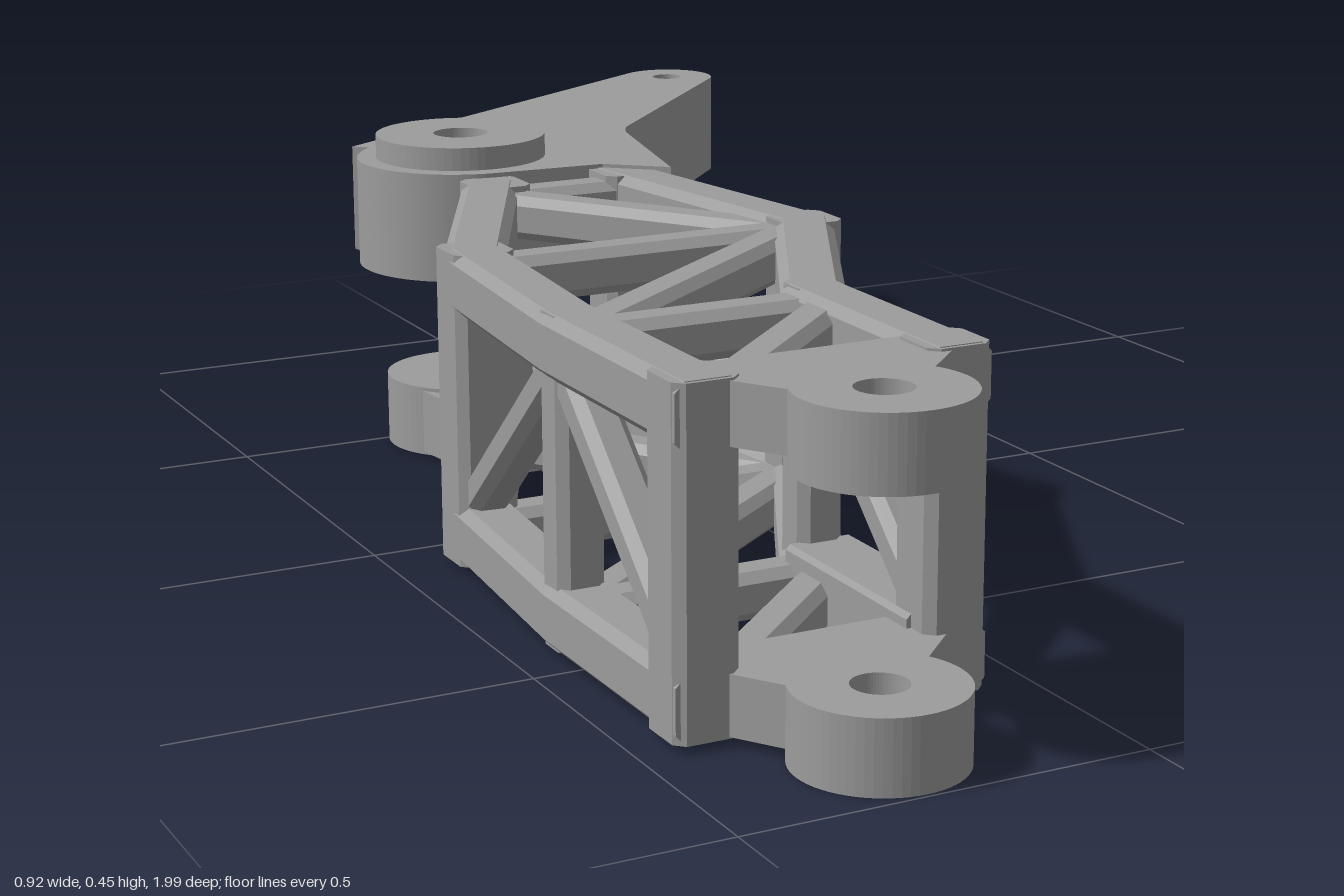
import * as THREE from 'three';

const Y = new THREE.Vector3(0, 1, 0);
const v = (x, y, z) => new THREE.Vector3(x, y, z);

// Mitred bar with a chamfered rectangular section swept along a polyline
function barGeometry(points, w, h, c = 0.012) {
  const a = w / 2, b = h / 2;
  const section = [[a, -b + c], [a, b - c], [a - c, b], [-a + c, b],
    [-a, b - c], [-a, -b + c], [-a + c, -b], [a - c, -b]];
  const dirs = points.slice(1).map((p, i) => p.clone().sub(points[i]).normalize());
  const rings = points.map((p, i) => {
    const d0 = dirs[Math.max(i - 1, 0)], d1 = dirs[Math.min(i, dirs.length - 1)];
    const dir = d0.clone().add(d1).normalize();
    const side = v(0, 0, 0).crossVectors(Y, dir);
    if (side.length() < 0.01) side.set(1, 0, 0);
    side.normalize();
    const up = v(0, 0, 0).crossVectors(dir, side);
    const miter = 1 / dir.dot(d1);
    return section.map(([s, t]) => p.clone().addScaledVector(side, s * miter).addScaledVector(up, t));
  });
  const out = [];
  for (let i = 0; i < rings.length - 1; i++) {
    for (let j = 0; j < 8; j++) {
      const k = (j + 1) % 8;
      const [A, B, C, D] = [rings[i][j], rings[i][k], rings[i + 1][k], rings[i + 1][j]];
      out.push(A, B, C, A, C, D);
    }
  }
  const first = rings[0], last = rings[rings.length - 1];
  for (let j = 1; j < 7; j++) {
    out.push(last[0], last[j], last[j + 1], first[0], first[j + 1], first[j]);
  }
  const g = new THREE.BufferGeometry().setFromPoints(out);
  g.computeVertexNormals();
  return g;
}

// Horizontal plate from a shape drawn in (x, -z)
function plateGeometry(shape, y0, y1) {
  const g = new THREE.ExtrudeGeometry(shape, { depth: y1 - y0, bevelEnabled: false, curveSegments: 32 });
  g.rotateX(-Math.PI / 2);
  g.translate(0, y0, 0);
  return g;
}

const outline = (pts) => new THREE.Shape(pts.map(([x, z]) => new THREE.Vector2(x, -z)));

function drill(shape, x, z, r) {
  shape.holes.push(new THREE.Path().absarc(x, -z, r, 0, Math.PI * 2, true));
  return shape;
}

function ring(x, z, r, hole) {
  return drill(new THREE.Shape().absarc(x, -z, r, 0, Math.PI * 2, false), x, z, hole);
}

export function createModel() {
  const model = new THREE.Group();
  const grey = new THREE.MeshStandardMaterial({ color: 0x9c9c9c });
  grey.name = 'grey metal';
  const add = (name, geometry) => {
    const m = new THREE.Mesh(geometry, grey);
    m.name = name;
    model.add(m);
    return m;
  };
  const bar = (name, pts, w, h, c) => add(name, barGeometry(pts, w, h, c));

  const levels = { lower: 0.053, upper: 0.378 };
  const rightNodes = [[-0.42, 0.78], [-0.42, 0.44], [-0.39, 0.09], [-0.205, -0.29]];
  const leftNodes = [[-0.11, 0.78], [-0.11, 0.45], [0.06, 0.12], [-0.01, -0.31]];

  for (const [level, y] of Object.entries(levels)) {
    // Long bent chords
    bar(level + 'RightChord', rightNodes.map(([x, z]) => v(x, y, z)), 0.078, 0.078);
    bar(level + 'LeftChord', leftNodes.map(([x, z]) => v(x, y, z)), 0.078, 0.078);

    // Cross bars and flat bracing
    const braces = [
      [-0.41, 0.465, -0.11, 0.465], [-0.38, 0.11, 0.05, 0.11], [-0.21, -0.265, -0.01, -0.265],
      [-0.38, 0.74, -0.11, 0.49], [-0.4, 0.45, 0.03, 0.125], [-0.2, -0.25, 0.04, 0.1],
    ];
    braces.forEach(([x0, z0, x1, z1], i) =>
      bar(level + (i < 3 ? 'CrossBar' : 'FlatBrace'), [v(x0, y, z0), v(x1, y, z1)], 0.058, 0.06));

    // Front eye with its mounting plate
    add(level + 'FrontPlate', plateGeometry(outline([[-0.42, 0.705], [-0.42, 0.775], [-0.4, 0.78],
      [-0.35, 0.857], [-0.2, 0.857], [-0.12, 0.78], [-0.11, 0.705]]), y - 0.037, y + 0.035));
    add(level + 'FrontEye', plateGeometry(ring(-0.275, 0.895, 0.1, 0.033), y - 0.048, y + 0.04));
  }

  // Side posts and diagonals
  for (const [side, nodes] of [['right', rightNodes], ['left', leftNodes]]) {
    nodes.forEach(([x, z], i) => {
      const zz = i === 0 ? 0.745 : i === 3 ? -0.275 : z;
      const w = i === 1 ? 0.06 : 0.08;
      bar(side + 'Post', [v(x, 0.014, zz), v(x, 0.416, zz)], w, w);
    });
    const diagonals = [[0, 0.08, 1, 0.36], [1, 0.36, 2, 0.08], [2, 0.08, 3, 0.36]];
    for (const [i, y0, j, y1] of diagonals) {
      bar(side + 'Diagonal', [v(nodes[i][0], y0, nodes[i][1] - (i ? 0 : 0.03)), v(nodes[j][0], y1, nodes[j][1])], 0.055, 0.05);
    }
  }

  // Thickened sleeve on the lower left chord
  bar('lowerSleeve', [v(-0.11, 0.057, 0.75), v(-0.11, 0.057, 0.47)], 0.092, 0.095, 0.006);

  // Lower rear eye
  add('rearPlate', plateGeometry(outline([[-0.235, -0.23], [0.02, -0.23], [0.025, -0.32],
    [-0.085, -0.412], [-0.275, -0.412], [-0.26, -0.3]]), 0.01, 0.1));
  add('rearEye', plateGeometry(ring(-0.18, -0.455, 0.112, 0.038), 0.006, 0.105));

  // Crank lever pivoting over the rear eye
  const lever = new THREE.Shape();
  lever.moveTo(-0.18, 0.308);
  lever.lineTo(-0.03, 0.3);
  lever.lineTo(0.045, 0.235);
  lever.lineTo(0.103, 0.49);
  lever.quadraticCurveTo(0.11, 0.525, 0.13, 0.55);
  lever.absarc(0.385, 0.928, 0.072, -0.75, 2.14, false);
  lever.lineTo(-0.295, 0.585);
  lever.lineTo(-0.275, 0.567);
  lever.absarc(-0.18, 0.455, 0.147, 2.27, Math.PI * 1.5, false);
  drill(lever, -0.18, -0.455, 0.038);
  drill(lever, 0.385, -0.928, 0.023);
  add('crankLever', plateGeometry(lever, 0.27, 0.422));
  add('pivotBoss', plateGeometry(ring(-0.18, -0.455, 0.12, 0.038), 0.422, 0.454));

  return model;
}
